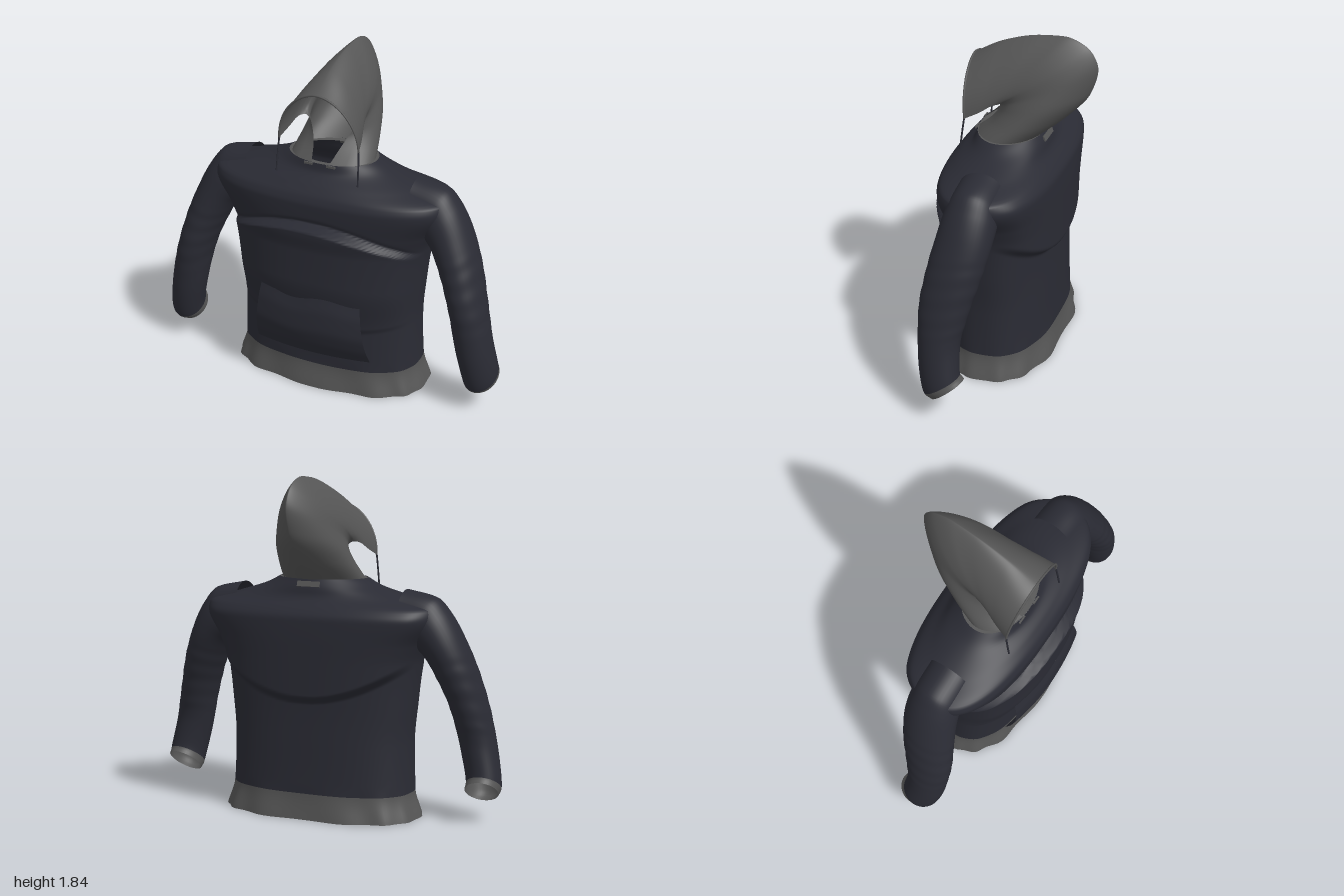
import * as THREE from 'three';

const navy = new THREE.MeshStandardMaterial({ color: 0x2a2b34, side: THREE.DoubleSide });
navy.name = 'navy cloth';
const grey = new THREE.MeshStandardMaterial({ color: 0x555555, side: THREE.DoubleSide });
grey.name = 'grey cloth';

const { lerp, smoothstep } = THREE.MathUtils;

// Smooth monotone interpolation of table rows, keyed by their first column
function sample(table, k) {
  let i = 0;
  while (i < table.length - 2 && k > table[i + 1][0]) i++;
  const h = table[i + 1][0] - table[i][0];
  const t = Math.min(1, Math.max(0, (k - table[i][0]) / h));
  const secant = (j, c) => (table[j + 1][c] - table[j][c]) / (table[j + 1][0] - table[j][0]);
  const slope = (j, c) => {
    if (j === 0) return secant(0, c);
    if (j === table.length - 1) return secant(j - 1, c);
    const a = secant(j - 1, c), b = secant(j, c);
    return a * b <= 0 ? 0 : (2 * a * b) / (a + b);
  };
  return table[i].slice(1).map((p, n) => {
    const c = n + 1, q = table[i + 1][c];
    return p + (q - p) * t * t * (3 - 2 * t)
      + h * (t * (1 - t) * (1 - t) * slope(i, c) - t * t * (1 - t) * slope(i + 1, c));
  });
}

// Grid surface from fn(u, v) with u and v in 0..1; wrap joins u = 1 to u = 0
function surface(fn, nu, nv, wrap = false) {
  const pos = [], index = [], cols = wrap ? nu : nu + 1;
  for (let j = 0; j <= nv; j++) for (let i = 0; i < cols; i++) pos.push(...fn(i / nu, j / nv));
  for (let j = 0; j < nv; j++) for (let i = 0; i < nu; i++) {
    const a = j * cols + i, b = j * cols + ((i + 1) % cols), c = a + cols, d = b + cols;
    index.push(a, c, b, b, c, d);
  }
  const g = new THREE.BufferGeometry();
  g.setAttribute('position', new THREE.Float32BufferAttribute(pos, 3));
  g.setIndex(index);
  g.computeVertexNormals();
  return g;
}

// Torso: height, half width, back z, front z
const TORSO = [
  [0, .56, -.245, .355], [.14, .52, -.22, .335], [.4, .512, -.21, .335], [.62, .53, -.205, .335],
  [.85, .562, -.205, .337], [.95, .6, -.205, .352], [1.1, .68, -.2, .36], [1.14, .675, -.19, .347],
  [1.19, .52, -.165, .305], [1.25, .33, -.15, .24], [1.29, .25, -.13, .23],
];
const ZC = .06;

function torsoPoint(angle, y, shrink = 1) {
  const [w, back, front] = sample(TORSO, y);
  const c = Math.cos(angle), s = Math.sin(angle);
  const e = 2 / lerp(2.5, 2, smoothstep(y, 1.1, 1.28));
  const x = w * Math.sign(c) * Math.abs(c) ** e;
  let z = Math.sign(s) * Math.abs(s) ** e * (s > 0 ? front - ZC : ZC - back);
  const facing = smoothstep(Math.abs(s), .1, .65);
  if (s > 0) {
    // puffed chest panel under a curved fold
    const top = .99 - .1 * (x / .45) ** 2, low = .35 + .06 * (x / .5) ** 2;
    const q = (y - low) / (top - low);
    const puff = .2 * smoothstep(q, 0, .07) + .8 * smoothstep(q, 0, .5);
    const fade = facing * (1 - .5 * Math.min(1, (x / .5) ** 2));
    z += fade * .065 * puff * (1 - smoothstep(q, .975, 1.01));
    z -= facing * .008 * Math.exp(-(((y - top - .01) / .012) ** 2));
  } else {
    // back yoke hanging over a curved fold
    const fold = .64 + .16 * (x / .5) ** 2;
    z -= facing * .047 * smoothstep(y, fold - .012, fold + .035) * (1 - smoothstep(y, 1.08, 1.22));
  }
  // loose waves towards the hem
  const wave = .032 * (1 - smoothstep(y, 0, .2)) * Math.sin(13 * angle + 2 * Math.sin(2 * angle));
  return [x * shrink * (1 + wave * .2), y, ZC + z * shrink * (1 + wave)];
}
const torso = (y0, y1, rows, shrink) =>
  surface((u, v) => torsoPoint(u * Math.PI * 2, lerp(y0, y1, v), shrink), 120, rows, true);

// Sleeve: position, outer x y, inner x y, back z, front z, end tilt
const SLEEVE = [
  [0, .485, 1.242, .47, 1.02, -.07, .18, 0], [.13, .65, 1.205, .5, .96, -.075, .19, 0],
  [.21, .722, 1.13, .54, .93, -.08, .205, 0],
  [.3, .79, 1.01, .58, .9, -.075, .22, 0], [.47, .865, .82, .655, .77, -.045, .25, 0],
  [.65, .925, .6, .72, .6, .005, .272, 0], [.83, .97, .39, .77, .38, .04, .262, .25],
  [.95, 1, .21, .81, .195, .03, .22, .68], [1, .995, .185, .812, .165, .01, .18, .78],
];
function sleevePoint(u, t, shrink = 1) {
  const [ox, oy, ix, iy, zb, zf, tilt] = sample(SLEEVE, t);
  const a = u * Math.PI * 2;
  const wrinkle = .009 * Math.sin(t * 70 + 1.5 * Math.sin(a)) * smoothstep(t, .35, .45) * (1 - smoothstep(t, .7, .8));
  const r = shrink * (1 + wrinkle);
  const c = Math.cos(a) * r / 2, z = -Math.sin(a) * r * (zf - zb) / 2;
  return [(ox + ix) / 2 + c * (ox - ix), (oy + iy) / 2 + c * (oy - iy) - z * tilt, (zf + zb) / 2 + z];
}
const sleeve = (t0, t1, rows, shrink) =>
  surface((u, v) => sleevePoint(u, lerp(t0, t1, v), shrink), 40, rows, true);

// Hood arches from face rim round to collar:
// position, apex z y, foot z y, foot x, side bulge, roundness p, q
const HOOD = [
  [0, .262, 1.68, .24, 1.4, .23, 0, 2, .55], [.2, .1, 1.77, .16, 1.44, .21, 0, 1.7, .65],
  [.37, -.1, 1.828, .11, 1.472, .193, .005, 1.45, .75], [.48, -.23, 1.838, .085, 1.48, .18, .015, 1.4, .8],
  [.6, -.36, 1.785, .07, 1.48, .16, .035, 1.4, .8], [.7, -.412, 1.675, .075, 1.465, .135, .06, 1.4, .75],
  [.79, -.375, 1.54, .095, 1.425, .11, .1, 1.5, .7], [.89, -.25, 1.39, .14, 1.365, .08, .145, 1.7, .6],
  [1, -.12, 1.28, .225, 1.285, .05, .19, 2, .5],
];
function hoodPoint(u, t) {
  const [az, ay, fz, fy, fx, bulge, p, q] = sample(HOOD, t);
  const v = u * 2 - 1, s = Math.sin((1 - Math.abs(v)) * Math.PI / 2);
  const x = fx * Math.max(0, 1 - s ** p) ** q + bulge * Math.max(0, Math.sin(Math.PI * s)) ** q;
  return [Math.sign(v) * x, lerp(fy, ay, s), lerp(fz, az, s)];
}

// Pocket: height fraction, depth; a sheet bowed away from the torso front
const POCKET = [[0, .358], [.25, .395], [.5, .413], [.75, .41], [1, .392]];
function pocketPoint(u, v) {
  const side = u * 2 - 1;
  const y = lerp(.22, .568 + .012 * Math.sin(side * 5), v);
  return [side * lerp(.34, .295, v), y, sample(POCKET, v)[0] - .04 * side * side];
}

function tube(points, radius) {
  const path = new THREE.CatmullRomCurve3(points.map(p => new THREE.Vector3(...p)));
  return new THREE.TubeGeometry(path, 40, radius, 8);
}

export function createModel() {
  const model = new THREE.Group();
  const add = (name, geometry, material, parent = model) => {
    const mesh = new THREE.Mesh(geometry, material);
    mesh.name = name;
    parent.add(mesh);
    return mesh;
  };

  // Body
  add('torso', torso(.14, 1.29, 140, 1), navy);
  add('hem', torso(0, .14, 14, 1), grey);
  add('lining', torso(.01, .6, 60, .98), grey);
  add('collarBand', surface((u, v) => torsoPoint(u * Math.PI * 2, 1.287, lerp(.99, .8, v)), 64, 2, true), grey);
  add('pocket', surface(pocketPoint, 30, 24), navy);

  // Hood with its rim and neck label
  add('hood', surface(hoodPoint, 48, 64), grey);
  const rim = Array.from({ length: 25 }, (_, i) => hoodPoint(i / 24, 0));
  add('hoodRim', tube(rim, .006), grey);
  const label = add('neckLabel', new THREE.BoxGeometry(.13, .03, .008), grey);
  label.position.set(0, 1.265, -.144);
  label.rotation.x = .35;

  // Sleeves, cuffs, drawstrings and hood tabs, mirrored
  for (const [side, sign] of [['left', 1], ['right', -1]]) {
    const half = new THREE.Group();
    half.name = side + 'Side';
    half.scale.x = sign;
    add(side + 'Sleeve', sleeve(0, .95, 90, 1), navy, half);
    add(side + 'Cuff', sleeve(.95, 1, 4, 1), grey, half);
    add(side + 'CuffLining', sleeve(.75, .998, 16, .96), grey, half);
    add(side + 'Drawstring', tube([[.23, 1.41, .24], [.234, 1.32, .252], [.237, 1.22, .265]], .005), navy, half);
    add(side + 'HoodTab', new THREE.BoxGeometry(.05, .012, .008), grey, half).position.set(.065, 1.283, .231);
    model.add(half);
  }
  return model;
}
